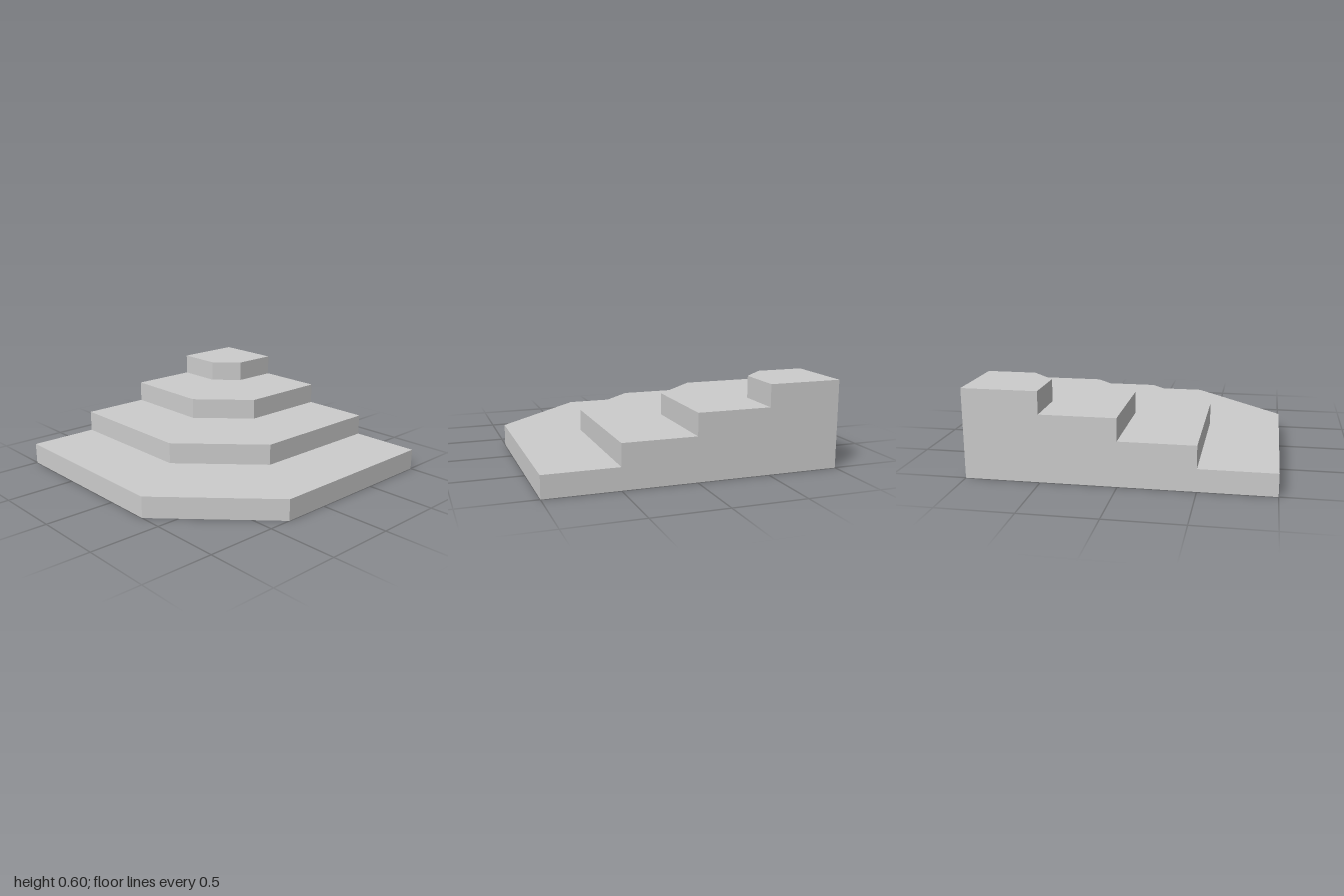
import * as THREE from 'three';

const STEPS = 4;
const RISE = 0.15;
const TREAD = 0.5;

// Square slab of the given size in the back left corner, its free corner cut at 45 degrees
function stepGeometry(size) {
  const near = 1 - size;
  const cut = near + size / 3;
  const outline = new THREE.Shape([
    new THREE.Vector2(1, 1),
    new THREE.Vector2(near, 1),
    new THREE.Vector2(near, cut),
    new THREE.Vector2(cut, near),
    new THREE.Vector2(1, near),
  ]);
  const geometry = new THREE.ExtrudeGeometry(outline, { depth: RISE, bevelEnabled: false });
  return geometry.rotateX(-Math.PI / 2);
}

export function createModel() {
  const group = new THREE.Group();
  group.name = 'cornerSteps';
  const material = new THREE.MeshStandardMaterial({ color: 0xcccccc, flatShading: true });

  // Steps stacked from the widest at the bottom to the smallest on top
  for (let i = 0; i < STEPS; i++) {
    const step = new THREE.Mesh(stepGeometry((STEPS - i) * TREAD), material);
    step.name = `step${i + 1}`;
    step.position.y = i * RISE;
    group.add(step);
  }
  return group;
}
